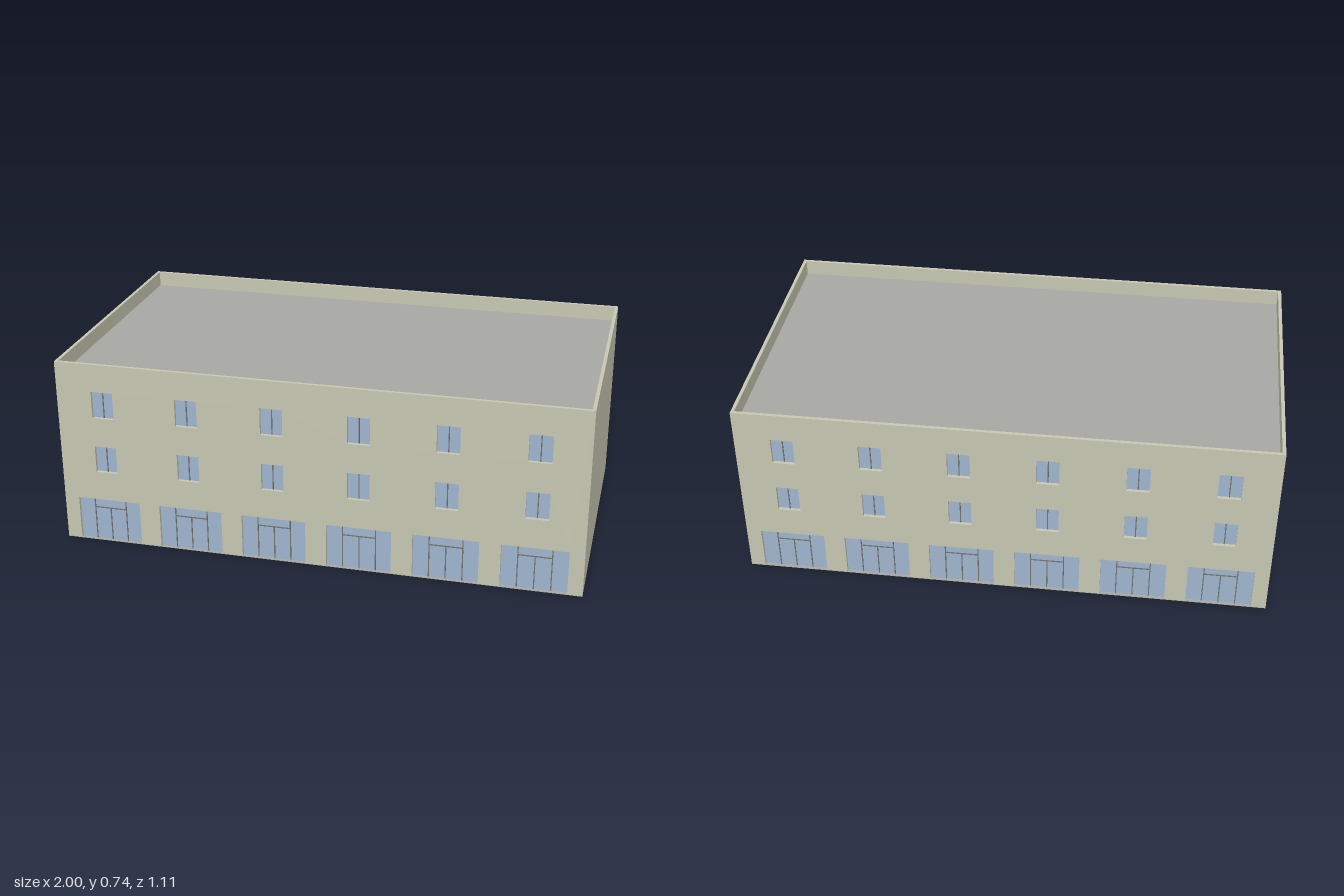
import * as THREE from 'three';

const W = 2, D = 1.108, H = 0.735, T = 0.013, BASE = 0.002, ROOF = 0.676;
const bays = [-0.82, -0.492, -0.164, 0.164, 0.492, 0.82];
const DOOR_W = 0.248, DOOR_H = 0.177, WIN_W = 0.085, WIN_H = 0.107;
const winBottoms = [0.294, 0.518];

const material = (name, color) => {
  const m = new THREE.MeshStandardMaterial({ color });
  m.name = name;
  return m;
};

export function createModel() {
  const wall = material('wall stone', 0xc6c6b2);
  const grey = material('roof grey', 0xa6a6a2);
  const glass = material('window glass', 0x9fb4cd);
  const trim = material('frame grey', 0x73736c);

  const building = new THREE.Group();
  building.name = 'building';

  const box = (parent, name, mat, w, h, d, x, y, z) => {
    const mesh = new THREE.Mesh(new THREE.BoxGeometry(w, h, d), mat);
    mesh.name = name;
    mesh.position.set(x, y, z);
    parent.add(mesh);
  };

  // Wall outline with door notches along the ground and window holes above
  const outline = new THREE.Shape();
  outline.moveTo(-W / 2, BASE);
  for (const x of bays) {
    outline.lineTo(x - DOOR_W / 2, BASE);
    outline.lineTo(x - DOOR_W / 2, DOOR_H);
    outline.lineTo(x + DOOR_W / 2, DOOR_H);
    outline.lineTo(x + DOOR_W / 2, BASE);
  }
  outline.lineTo(W / 2, BASE);
  outline.lineTo(W / 2, H);
  outline.lineTo(-W / 2, H);
  for (const x of bays) {
    for (const y of winBottoms) {
      const hole = new THREE.Path();
      hole.moveTo(x - WIN_W / 2, y);
      hole.lineTo(x - WIN_W / 2, y + WIN_H);
      hole.lineTo(x + WIN_W / 2, y + WIN_H);
      hole.lineTo(x + WIN_W / 2, y);
      outline.holes.push(hole);
    }
  }
  const wallGeometry = new THREE.ExtrudeGeometry(outline, { depth: T, bevelEnabled: false });

  // The long facades match, front and back
  const zWall = D / 2 - T, zGlass = zWall - 0.003, zBar = zWall + 0.001;
  for (const [name, turn] of [['frontFacade', 0], ['backFacade', Math.PI]]) {
    const facade = new THREE.Group();
    facade.name = name;
    facade.rotation.y = turn;
    const mesh = new THREE.Mesh(wallGeometry, wall);
    mesh.name = 'facadeWall';
    mesh.position.z = zWall;
    facade.add(mesh);

    for (const x of bays) {
      // Shop front: glazing with a double door and a transom
      box(facade, 'shopGlass', glass, DOOR_W, DOOR_H - BASE, 0.006, x, (DOOR_H + BASE) / 2, zGlass);
      for (const s of [-1, 1]) {
        box(facade, 'doorPost', trim, 0.004, DOOR_H - BASE, 0.003, x + s * 0.063, (DOOR_H + BASE) / 2, zBar);
      }
      box(facade, 'doorTransom', trim, 0.122, 0.004, 0.003, x, 0.137, zBar);
      box(facade, 'doorSplit', trim, 0.004, 0.133, 0.003, x, 0.0685, zBar);
      // Upper windows with a centre bar
      for (const y of winBottoms) {
        box(facade, 'windowGlass', glass, WIN_W, WIN_H, 0.006, x, y + WIN_H / 2, zGlass);
        box(facade, 'windowBar', trim, 0.004, WIN_H, 0.003, x, y + WIN_H / 2, zBar);
      }
    }
    building.add(facade);
  }

  // Blank side walls
  for (const s of [-1, 1]) {
    box(building, s > 0 ? 'leftWall' : 'rightWall', wall,
      T, H - BASE, D - 2 * T, s * (W / 2 - T / 2), (H + BASE) / 2, 0);
  }

  // Sunken roof deck inside the parapet, and the ground slab
  box(building, 'roofDeck', grey, W - 2 * T, 0.02, D - 2 * T, 0, ROOF - 0.01, 0);
  box(building, 'groundSlab', grey, W, BASE, D, 0, BASE / 2, 0);

  return building;
}
